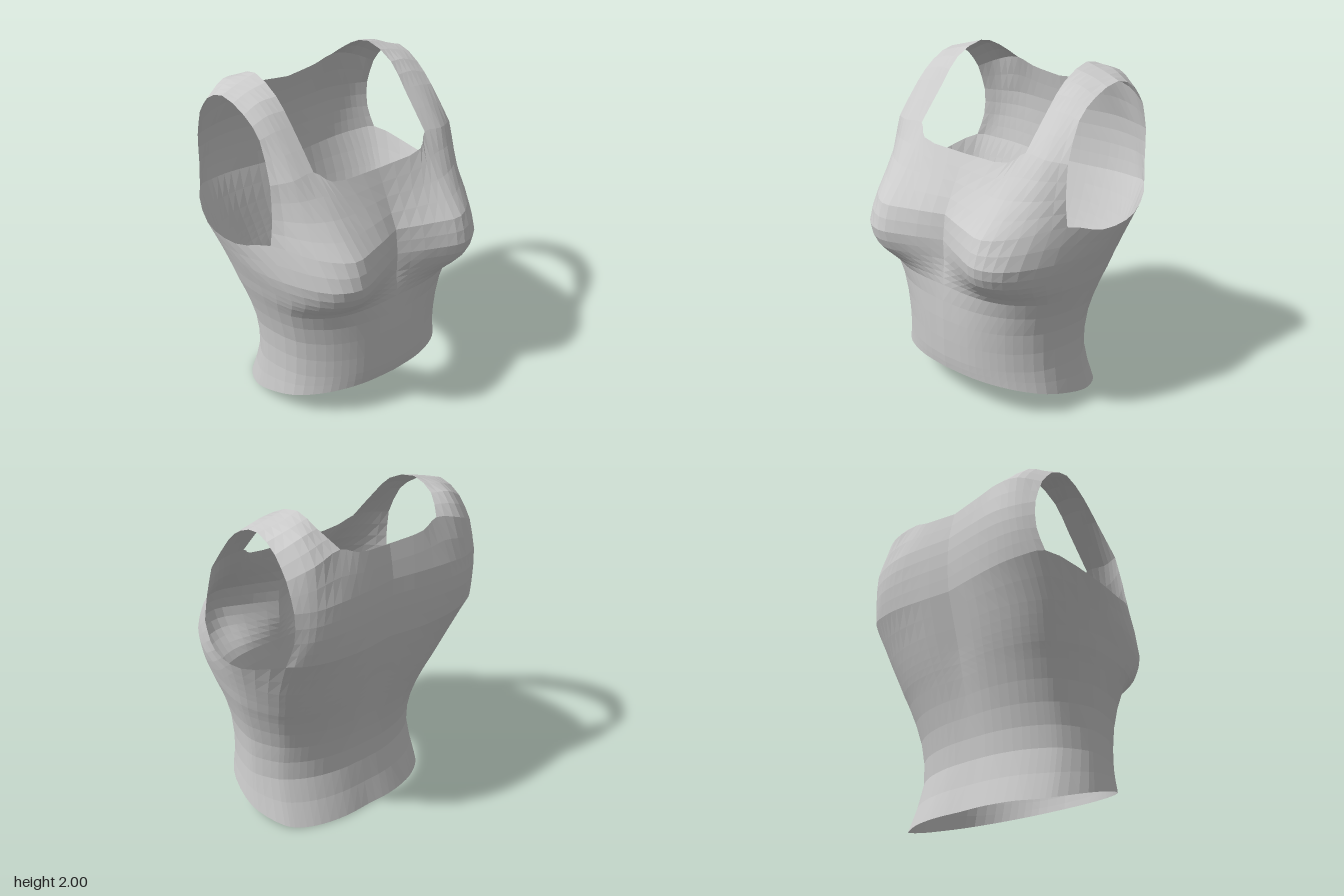
import * as THREE from 'three';

const V = (x, y, z) => new THREE.Vector3(x, y, z);
const STEP = 3; // samples per control span across a row

// Rows of [x, y, z] control points become evenly sampled smooth rows
function sampleRow(points) {
  const curve = new THREE.CatmullRomCurve3(points.map((p) => V(...p)));
  return curve.getPoints((points.length - 1) * STEP);
}

// Skin a stack of sampled rows, for one half of the garment or its mirror image
function skin(rows, perRow, side) {
  const n = rows[0].length;
  const m = (rows.length - 1) * perRow + 1;
  const columns = rows[0].map((_, i) =>
    new THREE.CatmullRomCurve3(rows.map((r) => r[i])).getPoints(m - 1));
  const pos = [], index = [];
  for (let j = 0; j < m; j++)
    for (let i = 0; i < n; i++) {
      const p = columns[i][j];
      pos.push(p.x * side, p.y, p.z);
    }
  for (let j = 0; j < m - 1; j++)
    for (let i = 0; i < n - 1; i++) {
      const a = j * n + i, b = a + 1, c = a + n, d = c + 1;
      if (side > 0) index.push(a, b, d, a, d, c);
      else index.push(a, d, b, a, c, d);
    }
  const indexed = new THREE.BufferGeometry();
  indexed.setAttribute('position', new THREE.Float32BufferAttribute(pos, 3));
  indexed.setIndex(index);
  const geo = indexed.toNonIndexed();
  geo.computeVertexNormals();
  return geo;
}

// Column positions as fractions of the half width, front centre to back centre
const FRONT = [0, 0.3, 0.52, 0.72, 0.91, 1];
const BACK = [0.985, 0.86, 0.75, 0.56, 0.28, 0];

// Bust swell across x: soft towards the centre, fuller towards the side
function swell(x) {
  const d = x - 0.39;
  return Math.exp(d < 0 ? -((d / 0.24) ** 2) : -((d / 0.26) ** 4));
}

// Torso section: half width, front and back depth, roundness of each
// (2 is an ellipse, higher is boxier), bust size and spine groove
function ring(y, w, front, back, nf, nb, bust, groove) {
  const height = (z) => y ?? Math.max(0, 0.09 + 0.27 * z);
  const depth = (u, n) => Math.pow(1 - u ** n, 1 / n);
  const f = FRONT.map((u) => {
    const z = front * depth(u, nf) + (u < 1 ? bust * swell(u * w) : 0);
    return [u * w, height(z), z];
  });
  const b = BACK.map((u) => {
    const z = -back * depth(u, nb) + groove * Math.exp(-((u * w / 0.14) ** 2));
    return [u * w, height(z), z];
  });
  return [...f, ...b];
}

export function createModel() {
  const group = new THREE.Group();
  const material = new THREE.MeshStandardMaterial({
    color: 0xcccccc, flatShading: true, side: THREE.DoubleSide,
  });

  // Row through the bottom of the armholes
  const armRow = sampleRow([
    [0, 1.2, 0.45], [0.22, 1.2, 0.53], [0.39, 1.2, 0.57], [0.55, 1.22, 0.455],
    [0.685, 1.25, 0.22], [0.765, 1.19, 0], [0.775, 1.205, -0.27], [0.665, 1.29, -0.52],
    [0.55, 1.28, -0.575], [0.4, 1.27, -0.6], [0.2, 1.26, -0.595], [0, 1.26, -0.57],
  ]);

  // Torso from the slanted hem up to the armholes
  const torso = [
    ring(null, 0.62, 0.47, 0.445, 2.1, 2.6, 0, 0.01),
    ring(0.3, 0.595, 0.48, 0.37, 2.1, 2.15, 0, 0.005),
    ring(0.55, 0.6, 0.485, 0.395, 2.2, 2.3, 0, 0.01),
    ring(0.77, 0.655, 0.475, 0.455, 2.4, 2.6, 0.02, 0.02),
    ring(0.85, 0.68, 0.465, 0.48, 2.5, 2.8, 0.09, 0.025),
    ring(0.93, 0.7, 0.455, 0.505, 2.6, 3, 0.165, 0.03),
    ring(1.05, 0.735, 0.455, 0.54, 2.6, 3.3, 0.2, 0.03),
  ].map(sampleRow);
  torso.push(armRow);

  // Front panel up to the square neckline
  const frontNeck = sampleRow([
    [0, 1.52, 0.29], [0.32, 1.54, 0.285], [0.4, 1.6, 0.23],
    [0.53, 1.59, 0.23], [0.645, 1.58, 0.18],
  ]);
  const front = [
    armRow.slice(0, 4 * STEP + 1),
    sampleRow([[0, 1.37, 0.365], [0.25, 1.37, 0.395], [0.4, 1.38, 0.4],
      [0.54, 1.39, 0.34], [0.665, 1.4, 0.215]]),
    frontNeck,
  ];

  // Back panel up to the scooped neckline
  const backNeck = sampleRow([
    [0.635, 1.76, -0.5], [0.5, 1.82, -0.555], [0.33, 1.86, -0.54],
    [0.22, 1.82, -0.558], [0, 1.8, -0.54],
  ]);
  const back = [
    armRow.slice(7 * STEP),
    sampleRow([[0.635, 1.43, -0.555], [0.54, 1.43, -0.6], [0.41, 1.43, -0.62],
      [0.2, 1.43, -0.61], [0, 1.43, -0.585]]),
    sampleRow([[0.63, 1.6, -0.555], [0.52, 1.6, -0.6], [0.38, 1.61, -0.617],
      [0.2, 1.61, -0.605], [0, 1.61, -0.58]]),
    backNeck,
  ];

  // Shoulder strap from the front neckline corner over to the back
  const strap = [
    frontNeck.slice(2 * STEP),
    sampleRow([[0.4, 1.8, 0.05], [0.51, 1.8, 0.05], [0.61, 1.78, 0.05]]),
    sampleRow([[0.405, 1.93, -0.08], [0.51, 1.92, -0.09], [0.615, 1.88, -0.08]]),
    sampleRow([[0.4, 2, -0.28], [0.52, 1.965, -0.28], [0.63, 1.935, -0.26]]),
    sampleRow([[0.39, 1.95, -0.43], [0.5, 1.94, -0.45], [0.635, 1.87, -0.41]]),
    backNeck.slice(0, 2 * STEP + 1).reverse(),
  ];

  const parts = { torso, frontPanel: front, backPanel: back, shoulderStrap: strap };
  for (const [name, rows] of Object.entries(parts))
    for (const side of [1, -1]) {
      const mesh = new THREE.Mesh(skin(rows, 2, side), material);
      mesh.name = (side > 0 ? 'left ' : 'right ') + name;
      group.add(mesh);
    }
  return group;
}
